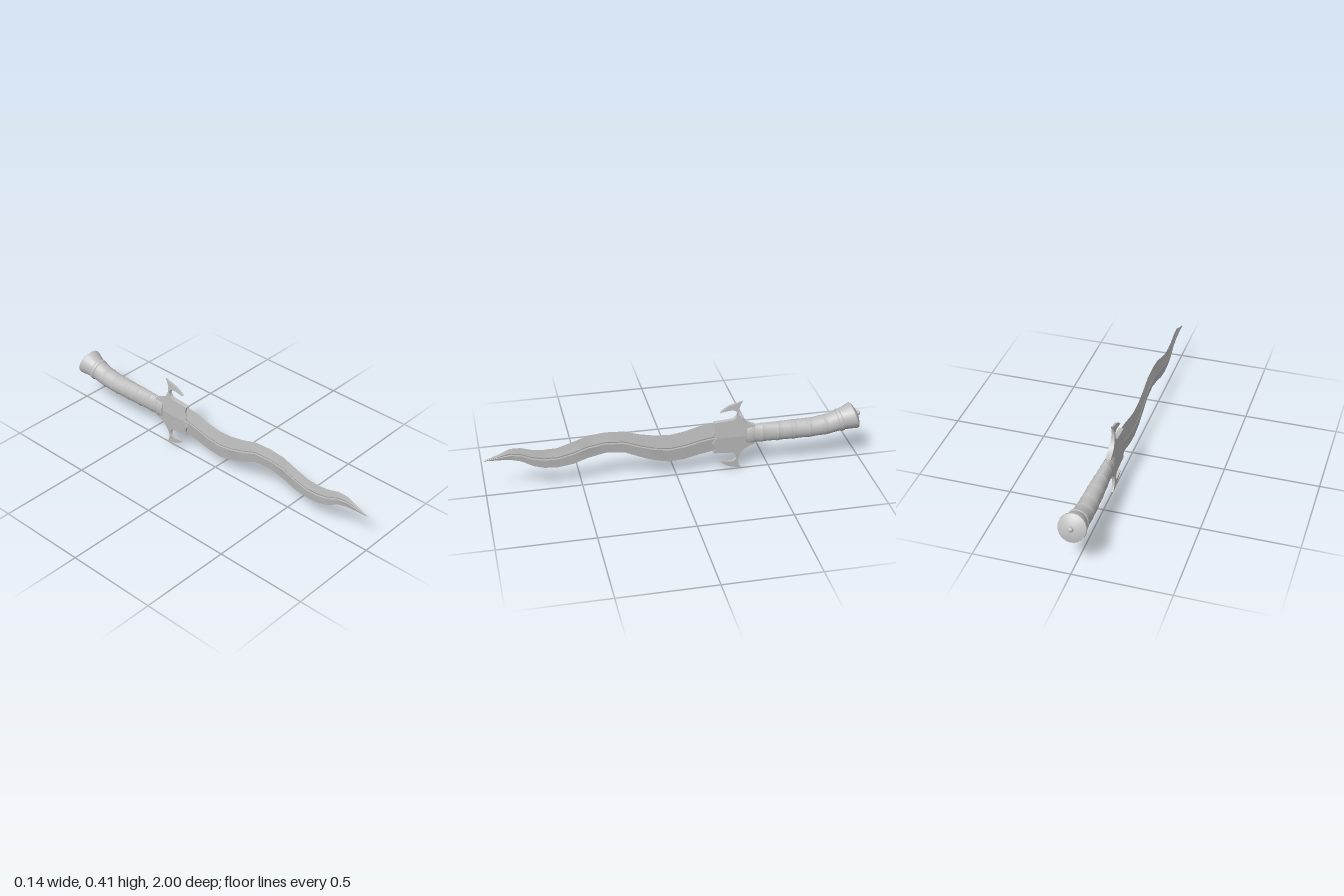
import * as THREE from 'three';
import { toCreasedNormals } from 'three/addons/utils/BufferGeometryUtils.js';

const MID = 0.205; // height of the guard's mirror line

// Skin closed rings (counter-clockwise seen from +z, ordered from +z to -z) and cap both ends.
function loft(rings, crease) {
  const n = rings[0].length, pos = [], idx = [];
  rings.forEach(r => r.forEach(p => pos.push(...p)));
  for (let i = 0; i < rings.length - 1; i++) {
    for (let j = 0; j < n; j++) {
      const a = i * n + j, b = i * n + (j + 1) % n, c = a + n, d = b + n;
      idx.push(a, c, b, b, c, d);
    }
  }
  [0, rings.length - 1].forEach(i => {
    const ring = rings[i], centre = pos.length / 3;
    pos.push(...[0, 1, 2].map(k => ring.reduce((s, p) => s + p[k], 0) / n));
    for (let j = 0; j < n; j++) {
      const a = i * n + j, b = i * n + (j + 1) % n;
      idx.push(centre, ...(i === 0 ? [a, b] : [b, a]));
    }
  });
  const g = new THREE.BufferGeometry();
  g.setAttribute('position', new THREE.Float32BufferAttribute(pos, 3));
  g.setIndex(idx);
  return toCreasedNormals(g, crease);
}

// Tilted oval ring: centre z and y, half height, half width, lean of its plane.
function oval(z, y, ry, rx, lean, scallop = 0) {
  return Array.from({ length: 24 }, (_, j) => {
    const a = j / 24 * Math.PI * 2, s = Math.sin(a);
    const h = s * (ry - scallop * Math.max(0, -s) ** 2);
    return [Math.cos(a) * rx, y + h, z + lean * h];
  });
}

export function createModel() {
  const model = new THREE.Group();
  const steel = new THREE.MeshStandardMaterial({ color: 0xbfbfbf });
  steel.name = 'grey steel';
  const add = (name, geometry, parent = model) => {
    const mesh = new THREE.Mesh(geometry, steel);
    mesh.name = name;
    parent.add(mesh);
    return mesh;
  };

  // Wavy blade: z, upper edge, lower edge
  const edges = [
    [0.998, 0.211, 0.207], [0.92, 0.24, 0.204], [0.865, 0.264, 0.2], [0.81, 0.263, 0.184],
    [0.75, 0.244, 0.149], [0.695, 0.238, 0.131], [0.625, 0.24, 0.125], [0.545, 0.265, 0.136],
    [0.465, 0.294, 0.163], [0.375, 0.303, 0.182], [0.277, 0.297, 0.173], [0.197, 0.271, 0.137],
    [0.117, 0.254, 0.105], [0.037, 0.248, 0.088], [-0.043, 0.26, 0.094], [-0.124, 0.283, 0.112],
    [-0.2, 0.294, 0.126], [-0.33, 0.296, 0.118]
  ];
  const blade = edges.map(([z, top, bottom], i) => {
    const m = (top + bottom) / 2;
    const t = i === 0 ? 0.0015 : 0.0125 - 0.0085 * (z + 0.33) / 1.33;
    const w = Math.min(0.007, (top - bottom) * 0.12);
    const groove = t - (i === 0 ? 0 : 0.0022);
    return [
      [0, bottom, z], [t, m - w, z], [groove, m, z], [t, m + w, z],
      [0, top, z], [-t, m + w, z], [-groove, m, z], [-t, m - w, z]
    ];
  });
  add('blade', loft(blade, 0.3));

  // Guard: half outline with a barbed horn, thinning towards the tips, mirrored top to bottom
  const half = new THREE.Shape();
  half.moveTo(-0.4, 0);
  half.lineTo(-0.21, 0);
  half.lineTo(-0.188, 0.03);
  half.quadraticCurveTo(-0.215, 0.06, -0.195, 0.09);
  half.lineTo(-0.25, 0.093);
  half.lineTo(-0.3, 0.098);
  half.bezierCurveTo(-0.33, 0.108, -0.335, 0.15, -0.295, 0.154);
  half.quadraticCurveTo(-0.26, 0.153, -0.232, 0.145);
  half.quadraticCurveTo(-0.265, 0.18, -0.305, 0.188);
  half.quadraticCurveTo(-0.335, 0.194, -0.352, 0.203);
  half.bezierCurveTo(-0.325, 0.165, -0.325, 0.13, -0.352, 0.095);
  half.quadraticCurveTo(-0.37, 0.068, -0.42, 0.054);
  half.lineTo(-0.4, 0);
  let plate = new THREE.ExtrudeGeometry(half, { depth: 2, bevelEnabled: false, curveSegments: 6 });
  plate.translate(0, 0, -1);
  plate.rotateY(-Math.PI / 2);
  const p = plate.attributes.position;
  for (let i = 0; i < p.count; i++) {
    p.setX(i, p.getX(i) * Math.max(0.005, 0.019 - 0.075 * p.getY(i)));
  }
  plate = toCreasedNormals(plate, 0.6);
  const guard = new THREE.Group();
  guard.name = 'guard';
  guard.position.y = MID;
  model.add(guard);
  add('upperGuard', plate, guard);
  add('lowerGuard', plate, guard).scale.y = -1;

  // Grip: centre z, centre y, half height, half width, lean
  const keys = [
    [-0.37, 0.206, 0.052, 0.022, 0], [-0.45, 0.206, 0.054, 0.032, 0],
    [-0.6, 0.206, 0.054, 0.042, 0], [-0.74, 0.207, 0.053, 0.048, 0.06],
    [-0.82, 0.216, 0.055, 0.051, 0.15], [-0.882, 0.232, 0.057, 0.053, 0.28]
  ];
  const at = z => {
    let i = 0;
    while (i < keys.length - 2 && z < keys[i + 1][0]) i++;
    const f = (z - keys[i][0]) / (keys[i + 1][0] - keys[i][0]);
    return keys[i].map((v, k) => THREE.MathUtils.lerp(v, keys[i + 1][k], f));
  };
  // Wrapped sections, each with a raised lip and a shallow finger hollow underneath
  const grip = [];
  const sections = 6, step = 0.512 / sections;
  for (let s = 0; s < sections; s++) {
    [0, 0.06, 0.3, 0.5, 0.7, 0.97].forEach(f => {
      const [z, y, ry, rx, lean] = at(-0.37 - (s + f) * step);
      const lip = f < 0.05 ? 0.0015 : 0;
      grip.push(oval(z, y, ry + lip, rx + lip, lean, 0.004 * Math.sin(f * Math.PI)));
    });
  }
  grip.push(oval(...keys[5]));
  add('grip', loft(grip, 0.5));

  // Collar where the grip meets the guard
  add('collar', loft([
    oval(-0.372, MID, 0.054, 0.022, 0), oval(-0.385, MID, 0.056, 0.027, 0),
    oval(-0.41, MID, 0.056, 0.03, 0), oval(-0.416, MID, 0.052, 0.028, 0)
  ], 0.5));

  // Flared pommel with a shallow dome
  add('pommel', loft([
    oval(-0.872, 0.229, 0.055, 0.052, 0.28), oval(-0.876, 0.23, 0.06, 0.057, 0.28),
    oval(-0.892, 0.235, 0.06, 0.058, 0.3), oval(-0.897, 0.236, 0.057, 0.055, 0.3),
    oval(-0.93, 0.245, 0.063, 0.064, 0.33), oval(-0.955, 0.252, 0.069, 0.072, 0.35),
    oval(-0.964, 0.255, 0.068, 0.071, 0.35), oval(-0.973, 0.258, 0.05, 0.053, 0.35),
    oval(-0.98, 0.261, 0.026, 0.028, 0.35), oval(-0.982, 0.262, 0.008, 0.009, 0.35)
  ], 0.6));

  // Rivet at the end of the pommel
  const rivet = add('pommelRivet', new THREE.SphereGeometry(0.014, 16, 10));
  rivet.position.set(0, 0.263, -0.984);

  return model;
}
